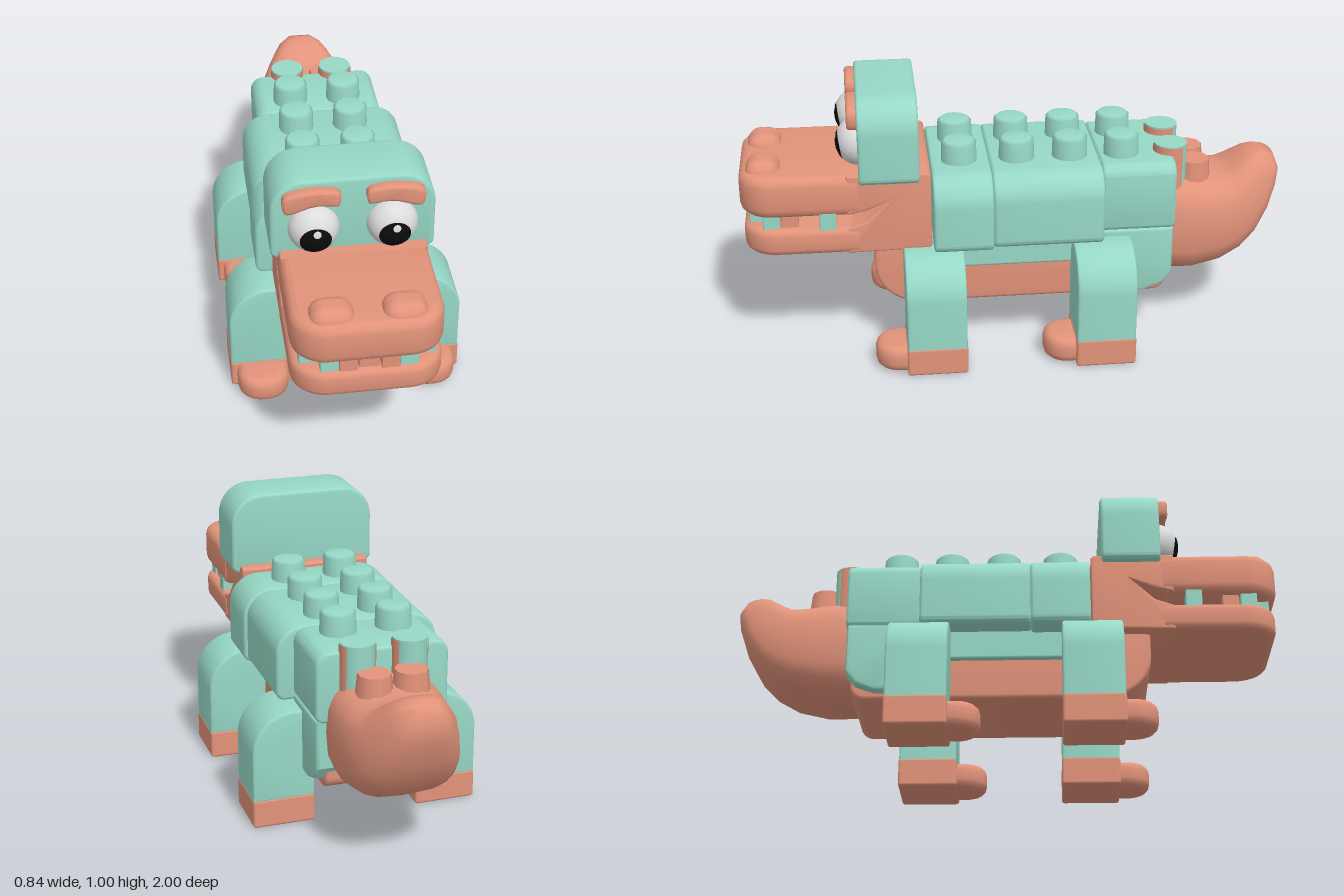
import * as THREE from 'three';
import { toCreasedNormals } from 'three/addons/utils/BufferGeometryUtils.js';
import { RoundedBoxGeometry } from 'three/addons/geometries/RoundedBoxGeometry.js';

const material = (name, color) => {
  const m = new THREE.MeshStandardMaterial({ color });
  m.name = name;
  return m;
};

// Rectangle with its own radius at each corner: bottom left, bottom right, top right, top left
function roundRect(x0, y0, x1, y1, [bl, br, tr, tl]) {
  const s = new THREE.Shape();
  const q = Math.PI / 2;
  const corner = (x, y, r, a) => (r > 0 ? s.absarc(x, y, r, a, a + q, false) : s.lineTo(x, y));
  s.moveTo(x0, y0 + bl);
  corner(x0 + bl, y0 + bl, bl, 2 * q);
  corner(x1 - br, y0 + br, br, 3 * q);
  corner(x1 - tr, y1 - tr, tr, 0);
  corner(x0 + tl, y1 - tl, tl, q);
  s.closePath();
  return s;
}

const points = (pts) => pts.map(([x, y]) => new THREE.Vector2(x, y));
const polygon = (pts) => new THREE.Shape(points(pts));

// Bevelled extrusion from a to b. Shape axes: z -> (x, y), y -> (x, z), x -> (z, y)
function extrude(shape, a, b, bevel, axis) {
  const g = new THREE.ExtrudeGeometry(shape, {
    depth: b - a - 2 * bevel, bevelSize: bevel, bevelThickness: bevel, bevelOffset: -bevel,
    bevelSegments: 3, curveSegments: 8,
  });
  if (axis === 'z') g.translate(0, 0, a + bevel);
  if (axis === 'y') g.rotateX(Math.PI / 2).translate(0, b - bevel, 0);
  if (axis === 'x') g.rotateY(-Math.PI / 2).translate(b - bevel, 0, 0);
  return toCreasedNormals(g, 0.6);
}

// Tail: squarish rings between a bottom and a top point, curling upwards
function tailGeometry() {
  // bottom z, bottom y, top z, top y, half width
  const rings = [
    [-0.50, 0.22, -0.50, 0.62, 0.20], [-0.66, 0.22, -0.64, 0.61, 0.208],
    [-0.77, 0.245, -0.73, 0.60, 0.198], [-0.85, 0.29, -0.78, 0.60, 0.185],
    [-0.91, 0.35, -0.81, 0.615, 0.165], [-0.96, 0.44, -0.84, 0.635, 0.138],
    [-0.99, 0.53, -0.87, 0.655, 0.108], [-1.00, 0.59, -0.90, 0.665, 0.082],
    [-0.98, 0.645, -0.93, 0.668, 0.045],
  ];
  const n = 20, pos = [], index = [];
  const soft = (v) => Math.sign(v) * Math.abs(v) ** 0.7;
  for (const [bz, by, tz, ty, w] of rings) {
    for (let i = 0; i < n; i++) {
      const a = (i / n) * Math.PI * 2, t = (soft(Math.sin(a)) + 1) / 2;
      pos.push(w * soft(Math.cos(a)), by + (ty - by) * t, bz + (tz - bz) * t);
    }
  }
  for (let r = 0; r < rings.length - 1; r++) {
    for (let i = 0; i < n; i++) {
      const a = r * n + i, b = r * n + (i + 1) % n;
      index.push(a, a + n, b, b, a + n, b + n);
    }
  }
  const last = (rings.length - 1) * n;
  for (let i = 1; i < n - 1; i++) index.push(last, last + i + 1, last + i);
  const g = new THREE.BufferGeometry();
  g.setAttribute('position', new THREE.Float32BufferAttribute(pos, 3));
  g.setIndex(index);
  g.computeVertexNormals();
  return g;
}

export function createModel() {
  const model = new THREE.Group();
  model.name = 'blockCrocodile';
  const teal = material('teal', 0x97d8c6);
  const orange = material('orange', 0xe2937a);
  const white = material('eyeWhite', 0xdcdcdc);
  const black = material('pupilBlack', 0x0c0c0c);

  const add = (name, geometry, mat, x = 0, y = 0, z = 0) => {
    const m = new THREE.Mesh(geometry, mat);
    m.name = name;
    m.position.set(x, y, z);
    model.add(m);
  };
  const box = (name, mat, x0, x1, y0, y1, z0, z1, r = 0.01) =>
    add(name, new RoundedBoxGeometry(x1 - x0, y1 - y0, z1 - z0, 3, r), mat,
      (x0 + x1) / 2, (y0 + y1) / 2, (z0 + z1) / 2);

  // Body segments
  const segment = (name, w, y0, z0, z1, r) =>
    add(name, extrude(roundRect(-w, y0, w, 0.71, [0.03, 0.03, r, r]), z0, z1, 0.012, 'z'), teal);
  segment('shoulderSegment', 0.31, 0.43, 0.10, 0.315, 0.11);
  segment('middleSegment', 0.30, 0.435, -0.30, 0.10, 0.10);
  segment('hipSegment', 0.24, 0.45, -0.57, -0.30, 0.05);
  box('lowerBody', teal, -0.22, 0.22, 0.33, 0.45, -0.42, 0.40);
  add('hipSides', extrude(polygon([[-0.30, 0.33], [-0.30, 0.46], [-0.565, 0.46], [-0.565, 0.28],
    [-0.53, 0.23], [-0.46, 0.205], [-0.38, 0.205], [-0.38, 0.33]]), -0.24, 0.24, 0.012, 'x'), teal);
  add('belly', extrude(roundRect(-0.55, 0.185, 0.53, 0.46, [0.05, 0.16, 0.04, 0]), -0.2, 0.2, 0.012, 'x'), orange);

  // Studs along the back; the last pair is teal behind with an orange front
  const studProfile = points([[0, 0.055], [0.052, 0.055], [0.063, 0.045], [0.066, -0.05]].reverse());
  const stud = new THREE.LatheGeometry(studProfile, 16);
  for (const side of [-1, 1]) {
    for (const z of [0.21, 0, -0.195, -0.385]) add('backStud', stud, teal, side * 0.102, 0.735, z);
    add('tailStud', new THREE.CylinderGeometry(0.061, 0.061, 0.2, 16), teal, side * 0.094, 0.64, -0.57);
    add('tailStudFront', new THREE.CylinderGeometry(0.064, 0.064, 0.196, 16, 1, true, -2.2, 4.4),
      orange, side * 0.094, 0.638, -0.57);
    add('tailBump', new THREE.CylinderGeometry(0.058, 0.068, 0.1, 10), orange, side * 0.066, 0.61, -0.665);
  }
  add('tail', tailGeometry(), orange);

  // Legs and feet
  for (const side of [-1, 1]) {
    const radii = side > 0 ? [0, 0, 0.15, 0.02] : [0, 0, 0.02, 0.15];
    const x0 = side > 0 ? 0.195 : -0.42, x1 = x0 + 0.225;
    for (const [end, z] of [['front', 0.21], ['rear', -0.405]]) {
      add(end + 'Leg', extrude(roundRect(x0, 0.1, x1, 0.435, radii), z, z + 0.215, 0.008, 'z'), teal);
      box(end + 'Foot', orange, x0 - 0.002, x1 + 0.002, 0, 0.108, z - 0.002, z + 0.217);
      add(end + 'Toe', extrude(roundRect(x0 + 0.02, z + 0.18, x1 - 0.02, z + 0.328,
        [0, 0, 0.085, 0.085]), 0.003, 0.1, 0.03, 'y'), orange);
    }
  }

  // Head with open jaws
  add('headBack', extrude(polygon([[0.32, 0.44], [0.33, 0.43], [0.62, 0.425], [0.62, 0.52], [0.55, 0.545],
    [0.46, 0.63], [0.55, 0.59], [0.62, 0.575], [0.62, 0.725], [0.33, 0.725], [0.32, 0.715]]),
  -0.252, 0.252, 0.008, 'x'), orange);
  const jaw = (name, y0, y1, z1, bevel) => add(name, extrude(roundRect(-0.255, 0.58, 0.255, z1,
    [0, 0, 0.12, 0.12]), y0, y1, bevel, 'y'), orange);
  jaw('upperJaw', 0.57, 0.725, 1.0, 0.035);
  jaw('lowerJaw', 0.425, 0.525, 0.99, 0.025);
  for (const side of [-1, 1]) {
    box('nostril', orange, side * 0.12 - 0.075, side * 0.12 + 0.075, 0.64, 0.762, 0.85, 0.975, 0.05);
    // Teeth between the jaws
    for (const [mat, x, z] of [[teal, 0.132, 0.94], [teal, 0.197, 0.89], [orange, 0.19, 0.825],
      [teal, 0.215, 0.69], [orange, 0.07, 0.945]]) {
      box('tooth', mat, side * x - 0.031, side * x + 0.031, 0.51, 0.585, z - 0.03, z + 0.03, 0.005);
    }
  }
  box('frontTooth', orange, -0.035, 0.035, 0.51, 0.585, 0.915, 0.965, 0.005);

  // Brow block behind the eyes
  add('browBlock', extrude(roundRect(-0.28, 0.695, 0.28, 1.0, [0.025, 0.025, 0.12, 0.12]), 0.36, 0.575, 0.012, 'z'), teal);

  // Eyes: flattened ball, pupil and glint as caps just above its surface
  const cap = (angle, grow) => new THREE.SphereGeometry(0.088 * grow, 24, 10, 0, Math.PI * 2, 0, angle).rotateX(Math.PI / 2);
  for (const side of [-1, 1]) {
    const eye = new THREE.Group();
    eye.name = 'eye';
    eye.position.set(side * 0.133, 0.815, 0.572);
    eye.scale.z = 0.9;
    const part = (name, g, mat) => {
      const m = new THREE.Mesh(g, mat);
      m.name = name;
      eye.add(m);
    };
    part('eyeball', new THREE.SphereGeometry(0.088, 28, 18), white);
    part('pupil', cap(0.65, 1.015).rotateX(0.17), black);
    part('glint', cap(0.15, 1.03).rotateX(-0.24).rotateY(0.05), white);
    model.add(eye);

    // Curved eyebrow
    const outline = new THREE.SplineCurve(points([[0.05, 0.91], [0.13, 0.917], [0.21, 0.893], [0.235, 0.9],
      [0.24, 0.94], [0.22, 0.965], [0.14, 0.979], [0.06, 0.971], [0.042, 0.945], [0.05, 0.91]]
      .map(([x, y]) => [side * x, y])));
    add('eyebrow', extrude(new THREE.Shape(outline.getPoints(30).slice(0, -1)), 0.56, 0.61, 0.012, 'z'), orange);
  }
  return model;
}
